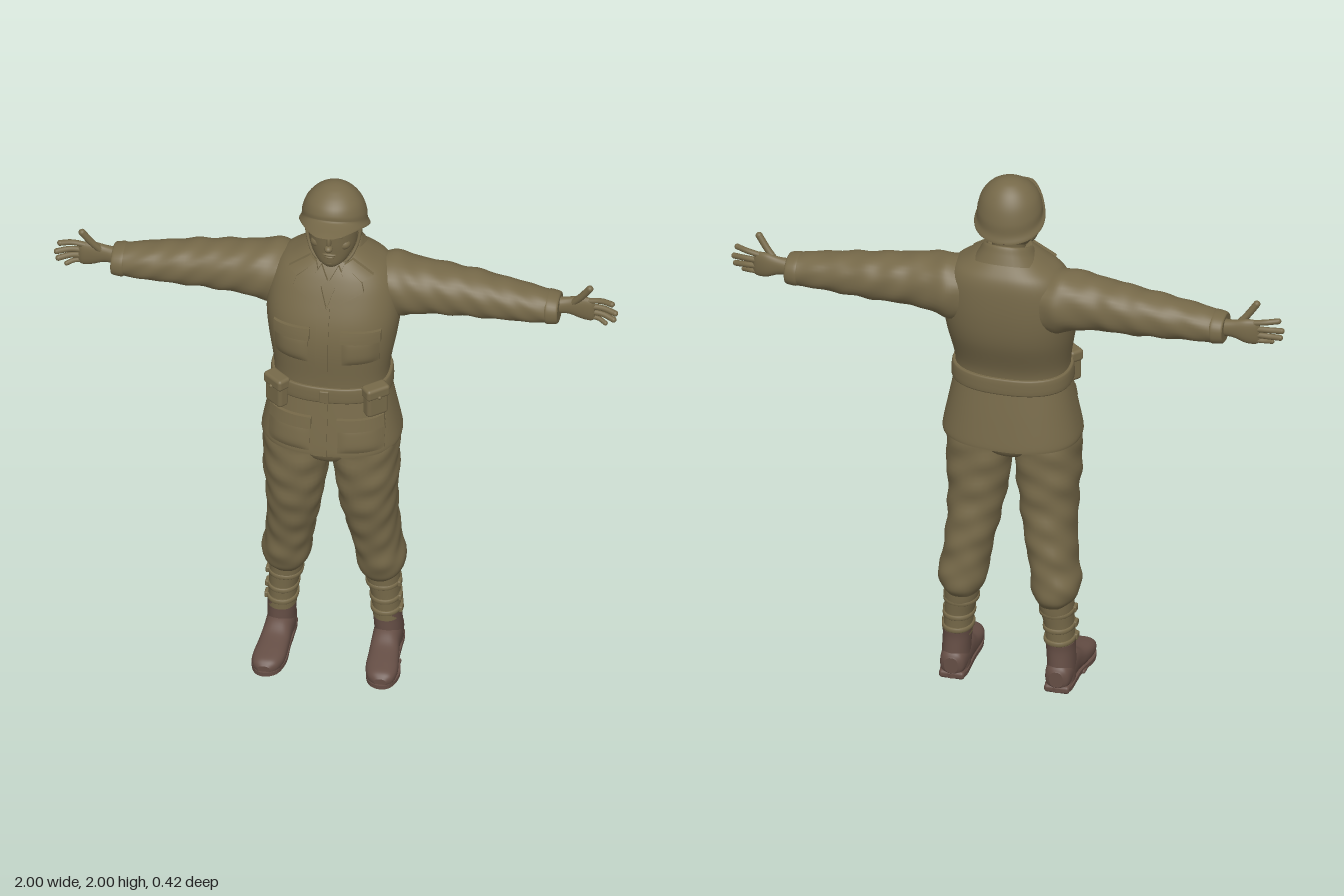
import * as THREE from 'three';
import { mergeGeometries } from 'three/addons/utils/BufferGeometryUtils.js';
import { RoundedBoxGeometry } from 'three/addons/geometries/RoundedBoxGeometry.js';

const olive = new THREE.MeshStandardMaterial({ name: 'olive cloth', color: 0x766949 });
const leather = new THREE.MeshStandardMaterial({ name: 'brown leather', color: 0x654e45 });

// Catmull-Rom subdivision of cross-section rows [t, centreCos, centreSin, radiusCos, radiusSin]
function dense(rows, steps = 6) {
  const out = [], last = rows.length - 1;
  const spline = (a, b, c, d, t) => 0.5 * (2 * b + (c - a) * t + (2 * a - 5 * b + 4 * c - d) * t * t + (3 * b - a - 3 * c + d) * t ** 3);
  for (let i = 0; i < last; i++) {
    for (let s = 0; s < steps; s++) {
      out.push(rows[i].map((b, k) => spline(rows[Math.max(0, i - 1)][k], b, rows[i + 1][k], rows[Math.min(last, i + 2)][k], s / steps)));
    }
  }
  out.push(rows[last]);
  return out;
}

// Skin superellipse sections along an axis (0 = x, 1 = y, 2 = z), capped at both ends
function loft(rows, { axis = 1, n = 2.2, seg = 36, steps = 6, wrinkle = 0, warp = null } = {}) {
  const list = dense(rows, steps), pos = [], idx = [];
  const pow = v => Math.sign(v) * Math.abs(v) ** (2 / n);
  const rings = list.map(([t, cc, cs, rc, rs]) => {
    const ring = [];
    for (let j = 0; j < seg; j++) {
      const a = j / seg * Math.PI * 2, p = [0, 0, 0];
      const k = 1 + wrinkle * Math.sin(55 * t + 3 * Math.sin(a)) * Math.sin(3 * a + 9 * t);
      p[axis] = t;
      p[(axis + 2) % 3] = cc + rc * k * pow(Math.cos(a));
      p[(axis + 1) % 3] = cs + rs * k * pow(Math.sin(a));
      ring.push(warp ? warp(p) : p);
    }
    return ring;
  });
  rings.forEach(r => r.forEach(p => pos.push(...p)));
  for (let i = 0; i < rings.length - 1; i++) {
    for (let j = 0; j < seg; j++) {
      const a = i * seg + j, b = i * seg + (j + 1) % seg;
      idx.push(a, a + seg, b, b, a + seg, b + seg);
    }
  }
  [rings[0], rings[rings.length - 1]].forEach((ring, top) => {
    const base = pos.length / 3;
    ring.forEach(p => pos.push(...p));
    pos.push(...[0, 1, 2].map(k => ring.reduce((s, p) => s + p[k], 0) / seg));
    for (let j = 0; j < seg; j++) {
      const a = base + j, b = base + (j + 1) % seg;
      idx.push(base + seg, top ? b : a, top ? a : b);
    }
  });
  const g = new THREE.BufferGeometry();
  g.setAttribute('position', new THREE.Float32BufferAttribute(pos, 3));
  g.setIndex(idx);
  g.computeVertexNormals();
  return g;
}

// Front surface z of a y-lofted body, used to lay pockets and lapels on it
function frontOf(rows, n) {
  const list = dense(rows);
  return (x, y) => {
    let i = 0;
    while (i < list.length - 2 && list[i + 1][0] < y) i++;
    const f = THREE.MathUtils.clamp((y - list[i][0]) / (list[i + 1][0] - list[i][0]), 0, 1);
    const [, , cz, rx, rz] = list[i].map((v, k) => v + (list[i + 1][k] - v) * f);
    return cz + rz * Math.max(0, 1 - Math.abs(x / rx) ** n) ** (1 / n);
  };
}

// Padded quad (corners counter-clockwise from bottom left) following a front surface
function patch([bl, br, tr, tl], thick, surf, puff = 0) {
  const g = new THREE.BoxGeometry(1, 1, 1, 10, 10, 1), p = g.attributes.position;
  for (let i = 0; i < p.count; i++) {
    const u = p.getX(i) + 0.5, v = p.getY(i) + 0.5;
    const mix = k => (bl[k] * (1 - u) + br[k] * u) * (1 - v) + (tl[k] * (1 - u) + tr[k] * u) * v;
    const x = mix(0), y = mix(1);
    const bulge = (1 - (2 * u - 1) ** 4) * (1 - (2 * v - 1) ** 4);
    p.setXYZ(i, x, y, surf(x, y) + (p.getZ(i) > 0 ? thick + puff * bulge : -0.01));
  }
  g.computeVertexNormals();
  return g;
}
const rect = (x0, x1, y0, y1) => [[x0, y0], [x1, y0], [x1, y1], [x0, y1]];

const blob = (x, y, z, rx, ry, rz) => new THREE.SphereGeometry(1, 20, 14).scale(rx, ry, rz).translate(x, y, z);

function finger(points, r) {
  const path = new THREE.CatmullRomCurve3(points.map(p => new THREE.Vector3(...p)));
  const tip = points[points.length - 1];
  return mergeGeometries([new THREE.TubeGeometry(path, 8, r, 10), blob(...tip, r, r, r)]);
}

function mirrored(geo) {
  const g = geo.clone().scale(-1, 1, 1);
  const src = g.index ? Array.from(g.index.array) : Array.from({ length: g.attributes.position.count }, (_, i) => i);
  for (let i = 0; i < src.length; i += 3) [src[i + 1], src[i + 2]] = [src[i + 2], src[i + 1]];
  g.setIndex(src);
  return g;
}

export function createModel() {
  const model = new THREE.Group();
  model.name = 'soldier';
  const add = (name, geo, mat = olive) => {
    const m = new THREE.Mesh(geo, mat);
    m.name = name;
    model.add(m);
  };
  const pair = (name, geo, mat) => {
    add(name + 'Left', geo, mat);
    add(name + 'Right', mirrored(geo), mat);
  };

  // Jacket body and skirt
  const bodyRows = [[1.18, 0, 0, .205, .148], [1.27, 0, 0, .203, .147], [1.4, 0, -.02, .225, .174], [1.5, 0, -.035, .235, .175],
    [1.6, 0, -.055, .225, .155], [1.66, 0, -.065, .195, .135], [1.7, 0, -.065, .14, .11], [1.74, 0, -.06, .08, .075]];
  const skirtRows = [[.975, 0, 0, .245, .182], [1.0, 0, 0, .245, .18], [1.1, 0, 0, .225, .165], [1.2, 0, 0, .205, .148]];
  const chest = frontOf(bodyRows, 2.4), skirt = frontOf(skirtRows, 2.4);
  add('jacketBody', loft(bodyRows, { n: 2.4, seg: 56 }));
  add('jacketSkirt', loft(skirtRows, { n: 2.4, seg: 56 }));
  add('frontPlacket', patch([[-.035, 1.26], [.012, 1.26], [.012, 1.58], [-.03, 1.58]], .005, chest));
  add('skirtPlacket', patch(rect(-.035, .012, .977, 1.19), .005, skirt));
  pair('breastPocket', patch(rect(.06, .185, 1.36, 1.48), .003, chest, .012));
  pair('breastFlap', patch([[.055, 1.455], [.19, 1.445], [.19, 1.49], [.055, 1.5]], .014, chest));
  pair('skirtPocket', patch(rect(.05, .205, .995, 1.11), .003, skirt, .012));
  pair('skirtFlap', patch([[.045, 1.085], [.205, 1.08], [.2, 1.125], [.045, 1.13]], .014, skirt));

  // Collar, lapels and shirt
  const tilt = ([x, y, z]) => [x, y - (z + .06) * .4, z];
  add('collar', loft([[1.675, 0, -.06, .13, .115], [1.715, 0, -.06, .103, .1], [1.745, 0, -.06, .086, .088],
    [1.742, 0, -.06, .074, .076], [1.7, 0, -.06, .068, .068]], { warp: tilt }));
  pair('lapel', patch([[.0, 1.57], [.125, 1.63], [.115, 1.66], [.05, 1.715]], .01, chest));
  pair('collarLeaf', patch([[.05, 1.715], [.115, 1.665], [.15, 1.675], [.075, 1.725]], .014, chest));
  pair('shirtCollar', patch([[.004, 1.665], [.032, 1.64], [.05, 1.68], [.03, 1.71]], .012, chest));

  // Belt, buckle and pouches
  add('belt', loft([[1.19, 0, 0, .207, .152], [1.195, 0, 0, .215, .158], [1.245, 0, 0, .213, .157], [1.25, 0, 0, .204, .15]], { n: 2.4, seg: 56, steps: 3 }));
  add('buckle', new RoundedBoxGeometry(.035, .05, .012, 2, .004).translate(0, 1.22, .162));
  const pouch = [new RoundedBoxGeometry(.085, .115, .045, 3, .014).translate(0, 1.2, 0),
    new RoundedBoxGeometry(.092, .045, .054, 3, .012).translate(0, 1.24, 0),
    new THREE.SphereGeometry(.007, 10, 8).translate(0, 1.225, .027)];
  ['pouch', 'pouchFlap', 'pouchStud'].forEach((name, i) => pair(name, pouch[i].rotateY(.7).translate(.175, 0, .118)));

  // Sleeves and cuffs
  pair('sleeve', loft([[.1, -.08, 1.56, .1, .1], [.2, -.085, 1.565, .112, .113], [.3, -.08, 1.57, .1, .096], [.4, -.084, 1.566, .092, .087],
    [.5, -.085, 1.56, .086, .08], [.65, -.08, 1.55, .074, .066], [.775, -.08, 1.54, .062, .053]], { axis: 0, wrinkle: .035, steps: 10 }));
  pair('cuff', loft([[.745, -.08, 1.542, .062, .053], [.755, -.08, 1.541, .067, .057], [.785, -.08, 1.54, .063, .053], [.792, -.08, 1.54, .058, .048]], { axis: 0, steps: 4 }));

  // Hands: palm forward, thumb up
  pair('palm', loft([[.77, -.085, 1.545, .027, .031], [.82, -.09, 1.548, .021, .033], [.865, -.09, 1.545, .02, .046],
    [.9, -.086, 1.542, .015, .046], [.915, -.085, 1.54, .007, .035]], { axis: 0, seg: 24 }));
  const tips = [[.978, 1.588], [.99, 1.55], [.984, 1.522], [.955, 1.503]];
  tips.forEach(([x, y], i) => {
    const base = 1.577 - i * .022;
    pair('finger' + (i + 1), finger([[.885, base, -.087], [(x + .9) / 2, (base + y) / 2 + .003, -.083], [x, y, -.068]], .0105 - (i === 3 ? .002 : 0)));
  });
  pair('thumb', finger([[.835, 1.562, -.085], [.868, 1.6, -.076], [.9, 1.645, -.068]], .0125));

  // Neck, head and face
  add('neck', loft([[1.66, 0, -.06, .065, .065], [1.72, 0, -.05, .059, .062], [1.82, 0, -.05, .062, .07]]));
  add('head', loft([[1.708, 0, .015, .028, .038], [1.728, 0, .002, .054, .06], [1.77, 0, -.022, .079, .088], [1.82, 0, -.03, .087, .1],
    [1.88, 0, -.035, .09, .104], [1.94, 0, -.042, .078, .088]]));
  add('nose', mergeGeometries([blob(0, 1.805, .077, .015, .013, .018), blob(0, 1.828, .068, .009, .032, .015)]));
  add('upperLip', blob(0, 1.769, .061, .026, .006, .01));
  add('lowerLip', blob(0, 1.757, .057, .021, .006, .011));
  add('chin', blob(0, 1.73, .044, .028, .019, .019));
  pair('brow', blob(.034, 1.867, .06, .028, .009, .012));
  pair('eye', blob(.034, 1.846, .052, .015, .008, .013));
  pair('cheek', blob(.045, 1.805, .036, .026, .022, .022));
  pair('ear', blob(.09, 1.815, -.035, .01, .027, .018));

  // Helmet with raised front rim and visor, plus straps
  const shape = ([x, h, z]) => {
    const f = THREE.MathUtils.clamp((z + .045) / .115, -1, 1), rim = 1.84 + .05 * f + .01 * f * f;
    const visor = .075 * Math.max(0, f) ** 3 * Math.max(0, 1 - h / .16);
    return [x, rim + h * (2 - rim), z + visor];
  };
  const dome = [[0, .125, .118], [.03, .124, .117], [.14, .116, .111], [.35, .113, .109], [.6, .1, .096], [.8, .076, .073], [.93, .047, .045], [.985, .022, .021], [1, .001, .001]];
  add('helmet', loft(dome.map(([h, rx, rz]) => [h, 0, -.045, rx, rz]), { n: 2, seg: 48, warp: shape }));
  const strap = new THREE.CatmullRomCurve3([[.098, 1.85, -.02], [.086, 1.775, -.005], [.055, 1.722, .02], [0, 1.704, .03],
    [-.055, 1.722, .02], [-.086, 1.775, -.005], [-.098, 1.85, -.02]].map(p => new THREE.Vector3(...p)));
  add('chinStrap', new THREE.TubeGeometry(strap, 40, .006, 8));
  const nape = new THREE.CatmullRomCurve3([[.093, 1.83, -.03], [.075, 1.805, -.1], [0, 1.795, -.132], [-.075, 1.805, -.1], [-.093, 1.83, -.03]].map(p => new THREE.Vector3(...p)));
  add('napeStrap', new THREE.TubeGeometry(nape, 30, .012, 8), leather);

  // Trousers
  add('trouserSeat', loft([[.885, 0, .015, .05, .07], [.92, 0, .015, .12, .115], [1.0, 0, .015, .2, .135]]));
  pair('trouserLeg', loft([[.335, .165, -.05, .058, .076], [.365, .168, -.045, .078, .097], [.42, .166, -.04, .086, .108], [.48, .157, -.03, .084, .108],
    [.56, .145, -.02, .088, .115], [.7, .13, .005, .1, .125], [.85, .125, .015, .114, .133], [1.0, .12, .018, .118, .13]], { wrinkle: .04, steps: 8 }));

  // Leggings with side straps and buckles
  pair('legging', loft([[.155, .186, -.048, .05, .064], [.24, .181, -.048, .051, .065], [.31, .172, -.05, .059, .071], [.36, .168, -.05, .062, .074]]));
  [.3, .24, .19].forEach((y, i) => {
    const cx = [.173, .181, .184][i], rx = [.06, .054, .054][i];
    pair('leggingStrap' + (i + 1), loft([[y - .009, cx, -.048, rx - .004, .068], [y - .006, cx, -.048, rx + .002, .072],
      [y + .006, cx, -.048, rx + .002, .072], [y + .009, cx, -.048, rx - .004, .068]], { steps: 2 }));
    pair('leggingBuckle' + (i + 1), new RoundedBoxGeometry(.014, .024, .034, 2, .005).translate(cx + rx, y, -.03));
  });

  // Boots: shaft, foot, sole and heel
  pair('bootShaft', loft([[.03, .19, -.06, .05, .066], [.09, .19, -.053, .049, .067], [.15, .187, -.05, .05, .064], [.18, .186, -.05, .052, .065]]), leather);
  pair('bootFoot', loft([[-.128, .055, .19, .03, .025], [-.11, .058, .19, .048, .044], [-.05, .064, .19, .058, .05], [.015, .06, .191, .055, .05],
    [.07, .046, .195, .041, .054], [.14, .038, .2, .034, .057], [.185, .034, .204, .027, .045], [.205, .03, .206, .014, .022]], { axis: 2, n: 2.4 }), leather);
  const outline = new THREE.Shape(new THREE.SplineCurve([[.19, -.132], [.235, -.11], [.24, -.04], [.243, .03], [.262, .12], [.245, .19], [.207, .213],
    [.162, .19], [.141, .12], [.143, .03], [.142, -.04], [.146, -.11], [.19, -.132]].map(p => new THREE.Vector2(...p))).getPoints(48));
  pair('bootSole', new THREE.ExtrudeGeometry(outline, { depth: .016, bevelEnabled: false }).rotateX(Math.PI / 2).translate(0, .022, 0), leather);
  pair('bootHeel', new RoundedBoxGeometry(.092, .03, .09, 3, .012).translate(.19, .015, -.083), leather);
  pair('bootToe', new RoundedBoxGeometry(.1, .014, .14, 3, .006).translate(.201, .007, .1), leather);
  return model;
}
